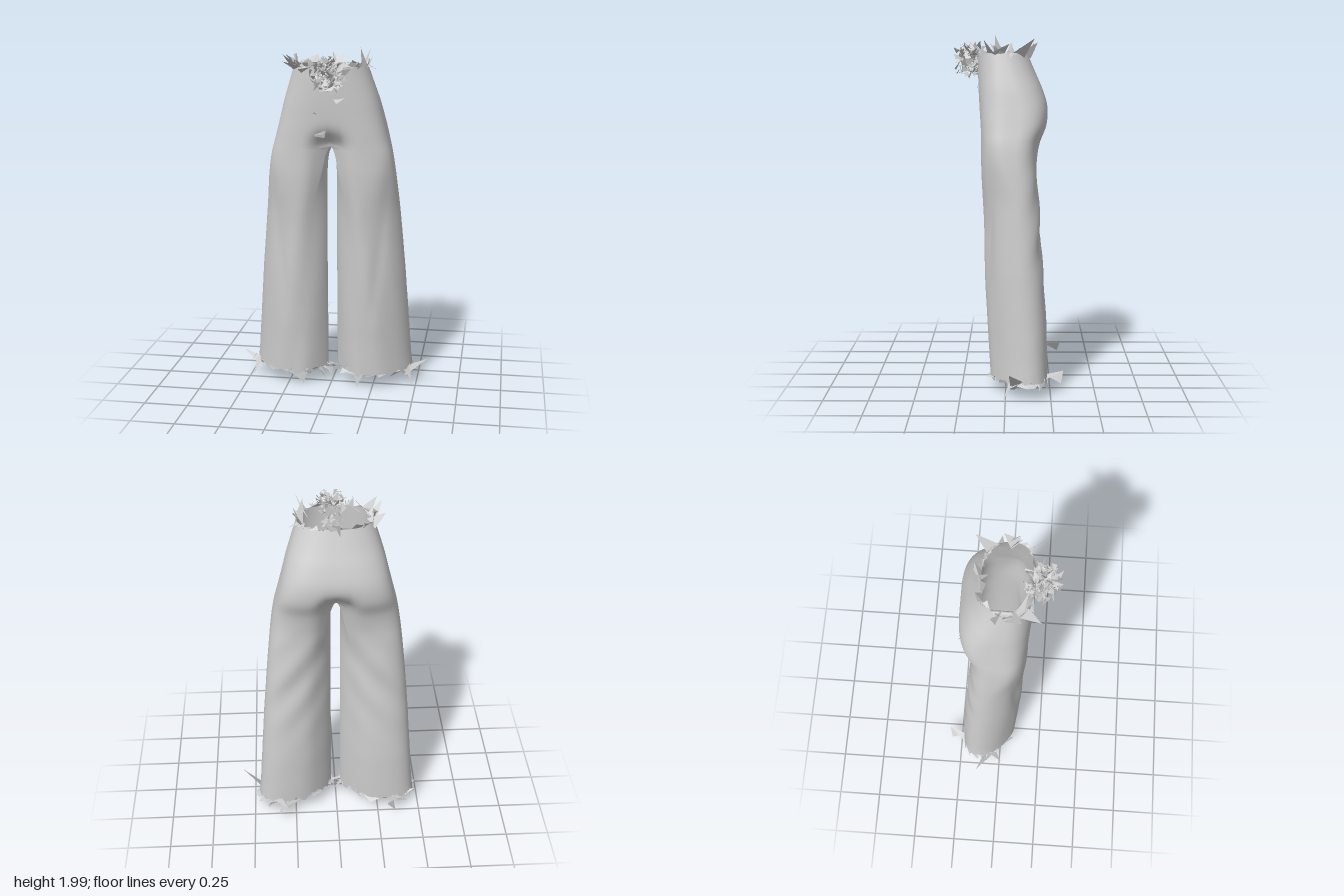
import * as THREE from 'three';
import { mergeGeometries, mergeVertices } from 'three/addons/utils/BufferGeometryUtils.js';

const CROTCH = 1.44, HEM = 0.1, WAIST = 1.9;
const OUTER = 48, INNER = 20; // columns on the outer arc and on the inseam

// half width, front z, back z for every 0.1 of height, hem to waist
const PROFILE = [
  [0.47, 0.088, -0.228], [0.46, 0.092, -0.227], [0.453, 0.096, -0.225], [0.445, 0.102, -0.223],
  [0.438, 0.106, -0.217], [0.43, 0.11, -0.21], [0.423, 0.112, -0.203], [0.414, 0.113, -0.195],
  [0.405, 0.114, -0.187], [0.396, 0.118, -0.182], [0.386, 0.126, -0.179], [0.375, 0.135, -0.178],
  [0.362, 0.141, -0.179], [0.345, 0.143, -0.194], [0.32, 0.147, -0.232], [0.295, 0.151, -0.235],
  [0.27, 0.156, -0.206], [0.239, 0.159, -0.163], [0.207, 0.16, -0.12]
].map(p => new THREE.Vector3(...p));
const profile = new THREE.CatmullRomCurve3(PROFILE, false, 'catmullrom', 0.5);

let seed = 11;
const rand = (a = 0, b = 1) => {
  seed = (seed * 16807) % 2147483647;
  return a + (b - a) * seed / 2147483647;
};
const spow = (v, e) => Math.sign(v) * Math.abs(v) ** e;
const bell = (v, s) => Math.exp(-((v / s) ** 2));
const smooth = v => THREE.MathUtils.smoothstep(v, 0, 1);

// One point of the left half; u 0..1 is the outer arc front to back, 1..2 the inseam back to front
function surfacePoint(y, u) {
  const { x: w, y: zf, z: zb } = profile.getPoint((y - HEM) / (WAIST - HEM));
  const zc = (zf + zb) / 2, d = (zf - zb) / 2;
  const below = Math.max(0, CROTCH - y);
  const xin = 0.028 * Math.sqrt(Math.min(1, below / 0.06));
  // half section of the hips, squarer at the thighs than at the waist
  let x = xin, z = zc + d * (2 * u - 3);
  if (u <= 1) {
    const e = 0.6 + 0.22 * smooth((y - 1.5) / 0.4);
    const s = u === 1 ? 0 : Math.sin(Math.PI * u) ** e;
    x = w * s + xin * (1 - s) ** 3;
    z = zc + d * spow(Math.cos(Math.PI * u), e);
  }
  // front and back run in to a short saddle at the crotch
  z = zc + (z - zc) * (1 - 0.58 * bell(Math.max(0, y - CROTCH), 0.075) * bell(x, 0.075));
  // leg section: round outside, tapering to the inseam, bent back at the outside
  const th = Math.PI * (u <= 1 ? 0.7 - 1.4 * u : -0.7 - 0.6 * (u - 1));
  const c = Math.cos(th), dx = (w - xin) / 2 * c;
  const ex = (w + xin) / 2 + dx;
  const ez = zc + d * spow(Math.sin(th), 1 + 0.6 * smooth(-c * 1.5)) - 0.18 * dx - 0.4 * dx * dx;
  const k = smooth(below / 0.4);
  x += (ex - x) * k;
  z += (ez - z) * k;
  // drapery: side pleat, hanging front folds and slanted folds behind the knee
  const side = (z - zc) / d, f = smooth(below / 0.3);
  const pleat = bell(x - (0.24 + 0.11 * (y - 0.4)), 0.03) * smooth((y - 0.3) / 0.4);
  if (side > 0) z -= f * side * (0.008 * pleat + 0.004 * Math.sin(34 * x + 5 * y) * smooth((1.3 - y) / 0.4));
  else z -= f * side * 0.006 * Math.sin(22 * (y + 1.2 * x)) * bell(y - 0.95, 0.3);
  return new THREE.Vector3(x, y, z);
}

// One half: hip rows going down, then closed leg rings
function halfTrousers(mirror) {
  const pos = [], idx = [], rows = [];
  const addRow = (y, cols, ragged) => {
    const row = [];
    for (let j = 0; j < cols; j++) {
      const p = surfacePoint(y, j <= OUTER ? j / OUTER : 1 + (j - OUTER) / INNER);
      if (ragged) p.y += rand(-0.025, 0.025);
      row.push(pos.length / 3);
      pos.push(mirror * p.x, p.y, p.z);
    }
    rows.push(row);
  };
  for (let i = 0; i < 32; i++) addRow(WAIST - (WAIST - CROTCH) * i / 32, OUTER + 1);
  for (let i = 0; i <= 64; i++) addRow(CROTCH - (CROTCH - HEM) * (i / 64) ** 1.5, OUTER + INNER, i === 64);
  for (let i = 0; i < rows.length - 1; i++) {
    const a = rows[i], b = rows[i + 1], leg = a.length > OUTER + 1;
    const n = leg ? a.length : OUTER;
    for (let j = 0; j < n; j++) {
      const q = leg ? (j + 1) % n : j + 1;
      if (mirror > 0) idx.push(a[j], b[j], b[q], a[j], b[q], a[q]);
      else idx.push(a[j], b[q], b[j], a[j], a[q], b[q]);
    }
  }
  const g = new THREE.BufferGeometry();
  g.setAttribute('position', new THREE.Float32BufferAttribute(pos, 3));
  g.setIndex(idx);
  return g;
}

// Loose triangles drawn as one mesh
function shardMesh(name, tris) {
  const g = new THREE.BufferGeometry().setFromPoints(tris.flat());
  g.computeVertexNormals();
  const m = new THREE.Mesh(g, new THREE.MeshStandardMaterial({ color: 0xcccccc, flatShading: true, side: THREE.DoubleSide }));
  m.name = name;
  return m;
}

// Torn scraps along an edge: a folded pair of triangles leaning out and up or down
function frayedEdge(edge, count, vertical, tris) {
  for (let i = 0; i < count; i++) {
    const u = (i + rand(0, 0.8)) / count, width = rand(0.025, 0.05);
    const a = edge(u), b = edge((u + width) % 1), c = edge((u + 0.5) % 1);
    const out = a.clone().sub(c).setY(0).normalize();
    const reach = rand() < 0.4 ? rand(0.06, 0.09) : rand(0.03, 0.05);
    const tip = a.clone().addScaledVector(out, reach * rand(-0.1, 0.6));
    tip.y += vertical * reach * rand(-0.4, 0.95);
    tip.x += rand(-0.025, 0.025);
    const fold = b.clone().lerp(tip, 0.6).add(new THREE.Vector3(rand(-0.03, 0.03), rand(-0.03, 0.03), rand(-0.03, 0.03)));
    tris.push([a, b, tip], [b, fold, tip]);
  }
}

export function createModel() {
  const group = new THREE.Group();
  const V = (x, y, z) => new THREE.Vector3(x, y, z);

  const cloth = mergeVertices(mergeGeometries([halfTrousers(1), halfTrousers(-1)]), 1e-5);
  cloth.computeVertexNormals();
  const trousers = new THREE.Mesh(cloth, new THREE.MeshStandardMaterial({ color: 0xcccccc, side: THREE.DoubleSide }));
  trousers.name = 'trousers';
  group.add(trousers);

  // Frayed hems with a few long scraps at the outer ankles
  for (const s of [1, -1]) {
    const tris = [];
    const edge = u => surfacePoint(HEM, u * 2).multiply(V(s, 1, 1));
    frayedEdge(edge, 26, -1, tris);
    tris.push(
      [V(s * 0.46, 0.11, -0.1), V(s * 0.43, 0.06, -0.03), V(s * 0.57, s > 0 ? 0.18 : 0.14, s > 0 ? -0.02 : -0.14)],
      [V(s * 0.44, 0.1, -0.02), V(s * 0.46, 0.13, -0.06), V(s * 0.48, 0.02, 0.01)],
      [V(s * 0.4, 0.1, -0.21), V(s * 0.34, 0.12, -0.22), V(s * 0.3, 0.13, -0.325)],
      [V(s * 0.3, 0.13, -0.325), V(s * 0.34, 0.12, -0.22), V(s * 0.35, 0.07, -0.31)],
      [V(s * 0.2, 0.1, 0.07), V(s * 0.13, 0.11, 0.05), V(s * 0.16, 0.015, 0.07)]);
    group.add(shardMesh(s > 0 ? 'leftFrayedHem' : 'rightFrayedHem', tris));
  }

  // Frayed waist with longer scraps at the sides and back
  const waist = [];
  const waistEdge = u => u < 0.5 ? surfacePoint(WAIST, 2 * u) : surfacePoint(WAIST, 2 - 2 * u).multiply(V(-1, 1, 1));
  frayedEdge(waistEdge, 26, 1, waist);
  for (const [x, z, tx, ty, tz] of [
    [-0.2, 0.04, -0.26, 1.96, 0.1], [-0.17, 0.1, -0.24, 1.93, 0.2], [-0.18, 0.08, -0.09, 1.975, 0.13],
    [-0.19, -0.03, -0.27, 1.95, -0.03], [0.19, 0.03, 0.17, 2, 0.06], [0.2, 0.05, 0.23, 1.95, -0.02],
    [0.16, 0.1, 0.21, 1.96, 0.2], [0.17, -0.07, 0.2, 1.98, -0.16], [0, -0.11, -0.02, 1.96, -0.18]
  ]) waist.push([V(x - 0.02, 1.87, z - 0.03), V(x + 0.02, 1.9, z + 0.03), V(tx, ty, tz)]);
  group.add(shardMesh('frayedWaist', waist));

  // Crumpled knot of scraps at the front of the waist
  const knot = [];
  for (let i = 0; i < 220; i++) {
    const dir = V(rand(-1, 1), rand(-1, 1), rand(-1, 1)).normalize();
    const c = dir.clone().multiplyScalar(0.09 * Math.sqrt(rand())).add(V(0.015, 1.862, 0.2));
    const j = () => c.clone().add(V(rand(-1, 1), rand(-1, 1), rand(-1, 1)).multiplyScalar(0.034));
    knot.push([j(), j(), c.clone().addScaledVector(dir, rand(0.005, 0.045))]);
  }
  group.add(shardMesh('waistKnot', knot));

  // Small tears below the knot
  group.add(shardMesh('frontTears', [
    [V(-0.1, 1.515, 0.13), V(-0.02, 1.505, 0.138), V(-0.01, 1.545, 0.15)],
    [V(-0.1, 1.515, 0.13), V(-0.03, 1.525, 0.145), V(-0.01, 1.55, 0.15)],
    [V(-0.09, 1.645, 0.15), V(-0.06, 1.635, 0.152), V(-0.07, 1.65, 0.158)],
    [V(0.02, 1.74, 0.15), V(0.1, 1.735, 0.152), V(0.05, 1.7, 0.165)]]));
  return group;
}
